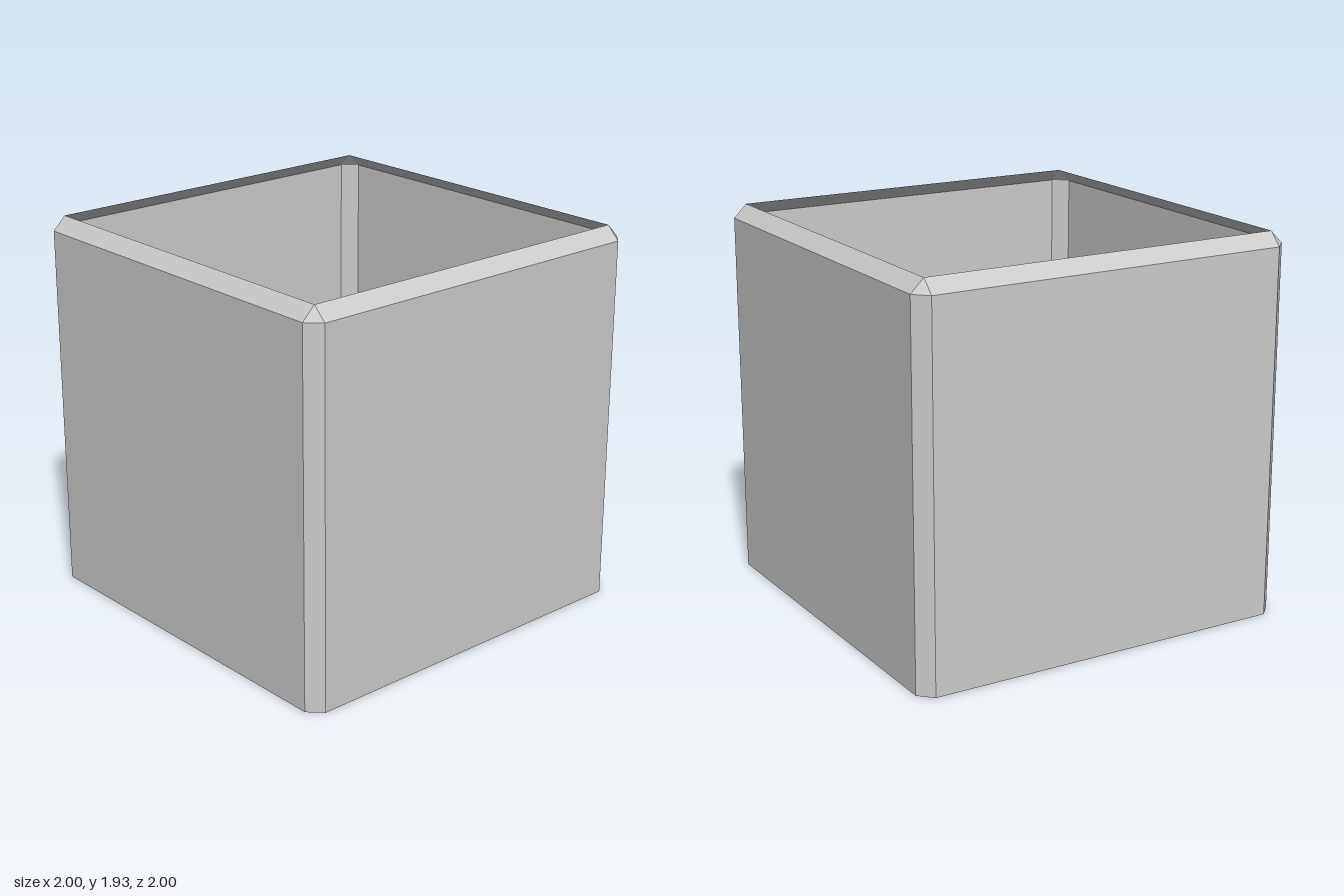
import * as THREE from 'three';

const OUT = 1;        // outer half width
const IN = 0.933;     // half width inside the bevel
const WALL = 1.867;   // top of the upright walls
const TOP = 1.933;    // top of the sloped rim

const material = new THREE.MeshStandardMaterial({
  color: 0xcccccc, flatShading: true, side: THREE.DoubleSide,
});

// Flat convex panel from its corners, counter-clockwise seen from outside
function panel(name, corners) {
  const points = [];
  for (let i = 1; i < corners.length - 1; i++) {
    points.push(...corners[0], ...corners[i], ...corners[i + 1]);
  }
  const geometry = new THREE.BufferGeometry();
  geometry.setAttribute('position', new THREE.Float32BufferAttribute(points, 3));
  geometry.computeVertexNormals();
  const mesh = new THREE.Mesh(geometry, material);
  mesh.name = name;
  return mesh;
}

// One side of the open box: wall, sloped rim and the bevelled corner beside it
function createSide() {
  const side = new THREE.Group();
  side.add(
    panel('wall', [[-IN, 0, OUT], [IN, 0, OUT], [IN, WALL, OUT], [-IN, WALL, OUT]]),
    panel('rimBevel', [[-IN, WALL, OUT], [IN, WALL, OUT], [IN, TOP, IN], [-IN, TOP, IN]]),
    panel('cornerBevel', [[IN, 0, OUT], [OUT, 0, IN], [OUT, WALL, IN], [IN, WALL, OUT]]),
    panel('cornerCap', [[IN, WALL, OUT], [OUT, WALL, IN], [IN, TOP, IN]]),
  );
  return side;
}

export function createModel() {
  const model = new THREE.Group();
  model.name = 'openBox';
  ['frontSide', 'leftSide', 'backSide', 'rightSide'].forEach((name, i) => {
    const side = createSide();
    side.name = name;
    side.rotation.y = i * Math.PI / 2;
    model.add(side);
  });
  return model;
}
